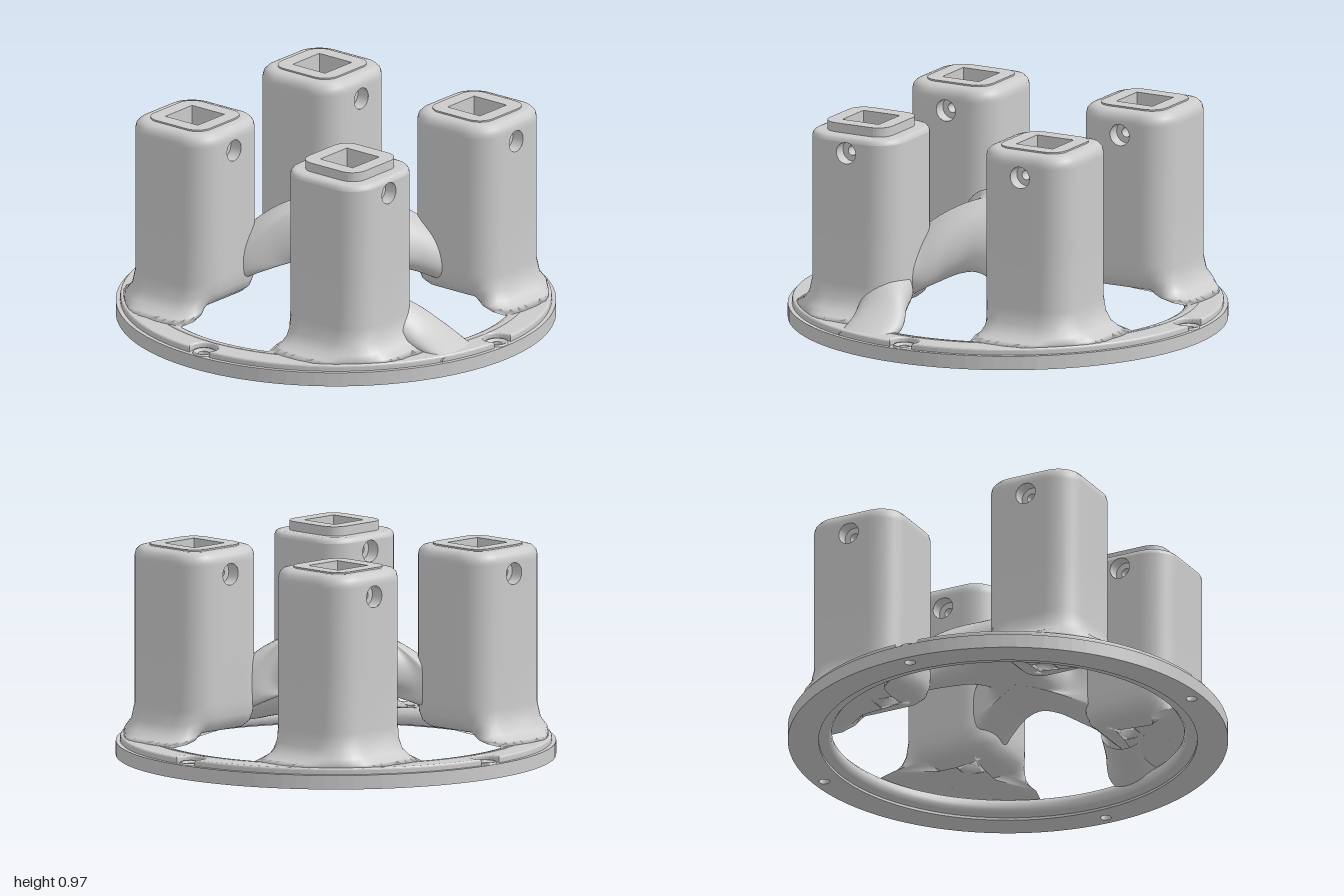
import * as THREE from 'three';

const mat = new THREE.MeshStandardMaterial({ color: 0xcccccc, side: THREE.DoubleSide });
const V = (x, y, z) => new THREE.Vector3(x, y, z);

function add(parent, name, geo, x = 0, y = 0, z = 0) {
  const m = new THREE.Mesh(geo, mat);
  m.name = name;
  m.position.set(x, y, z);
  parent.add(m);
  return m;
}

// Skin a stack of closed cross-sections; skip(row, i) leaves an opening
function loft(rows, skip = () => false) {
  const n = rows[0].length, idx = [];
  for (let j = 0; j < rows.length - 1; j++) for (let i = 0; i < n; i++) {
    if (skip(j, i)) continue;
    const a = j * n + i, b = j * n + (i + 1) % n;
    idx.push(a, a + n, b, b, a + n, b + n);
  }
  const g = new THREE.BufferGeometry().setFromPoints(rows.flat());
  g.setIndex(idx);
  g.computeVertexNormals();
  return g;
}

function circlePath(r, x = 0, y = 0) {
  return new THREE.Path().absarc(x, y, r, 0, Math.PI * 2, true);
}

function rectShape(w, h) {
  return new THREE.Shape([[-w, -h], [w, -h], [w, h], [-w, h]].map(p => new THREE.Vector2(...p)));
}

// Upright slab cut by the given holes
function slab(shape, holes, depth, bevel = 0) {
  shape.holes.push(...holes);
  return new THREE.ExtrudeGeometry(shape, {
    depth: depth - bevel, curveSegments: 48, bevelEnabled: bevel > 0,
    bevelSize: bevel, bevelThickness: bevel, bevelOffset: -bevel, bevelSegments: 3,
  }).rotateX(-Math.PI / 2);
}

// Flat panel facing x, with a round hole
function holedPanel(w, h, r, cy = 0) {
  const s = rectShape(w, h);
  s.holes.push(circlePath(r, 0, cy));
  return new THREE.ShapeGeometry(s, 24).rotateY(Math.PI / 2);
}

// Rounded square as points with outward normals; two points on every flat
function roundedSquare(half, r, flat) {
  const pts = [];
  for (let k = 0; k < 4; k++) {
    const c = Math.cos(k * Math.PI / 2), s = Math.sin(k * Math.PI / 2);
    const put = (x, z, a) => pts.push({
      x: x * c - z * s, z: x * s + z * c,
      nx: Math.cos(a + k * Math.PI / 2), nz: Math.sin(a + k * Math.PI / 2),
    });
    put(half, -flat, 0);
    put(half, flat, 0);
    for (let i = 0; i <= 8; i++) {
      const a = i / 8 * Math.PI / 2;
      put(half - r + r * Math.cos(a), half - r + r * Math.sin(a), a);
    }
  }
  return pts;
}

const P = 0.455, HALF = 0.23, HOLE_Y = 0.855;

function makePost(sx, sz, height, rim) {
  const post = new THREE.Group();
  post.name = 'post';
  post.position.set(sx * P, 0, sz * P);
  const outline = roundedSquare(HALF, 0.13, 0.055);

  // rows: outer y, outer growth, inner y, inner growth (outer side flares onto the ring)
  const rows = [
    [0.11, -0.229, 0.11, -0.229], [0.085, 0.16, 0.125, -0.09], [0.105, 0.09, 0.135, -0.05],
    [0.13, 0.045, 0.16, -0.02], [0.17, 0.015, 0.20, -0.005], [0.24, 0, 0.26, 0],
    [0.5, 0, 0.5, 0], [0.80, 0, 0.80, 0], [0.905, 0, 0.905, 0],
  ];
  for (const a of [0, 30, 60, 90]) {
    const t = a * Math.PI / 180;
    const y = height - rim * (1 - Math.sin(t)), g = -rim * (1 - Math.cos(t));
    rows.push([y, g, y, g]);
  }
  rows.push([height, -0.075, height, -0.075]);
  const sections = rows.map(([yo, go, yi, gi]) => outline.map(p => {
    const w = THREE.MathUtils.smoothstep((p.nx * sx + p.nz * sz) * Math.SQRT1_2, -0.5, 0.65);
    const g = THREE.MathUtils.lerp(gi, go, w);
    let x = p.x + p.nx * g, z = p.z + p.nz * g;
    const r = Math.hypot(x + sx * P, z + sz * P), k = Math.min(1, 0.965 / r);
    x = (x + sx * P) * k - sx * P;
    z = (z + sz * P) * k - sz * P;
    return V(x, THREE.MathUtils.lerp(yi, yo, w), z);
  }));
  add(post, 'postBody', loft(sections, (j, i) => j === 7 && (i === 0 || i === 22)));

  // Socket collar, walls and floor
  const collarShape = new THREE.Shape(roundedSquare(0.165, 0.075, 0.05).map(p => new THREE.Vector2(p.x, p.z)));
  add(post, 'socketCollar', slab(collarShape, [rectShape(0.095, 0.095)], 0.073), 0, 0.90, 0);
  add(post, 'socketFloor', slab(rectShape(0.095, 0.095), [circlePath(0.025)], 0.05), 0, 0.70, 0);
  add(post, 'floorHoleBottom', new THREE.CircleGeometry(0.026, 24).rotateX(-Math.PI / 2), 0, 0.70, 0);
  for (const s of [-1, 1]) {
    add(post, 'socketSideWall', new THREE.PlaneGeometry(0.19, 0.15), 0, 0.825, s * 0.095);
    add(post, 'socketDrilledWall', holedPanel(0.095, 0.075, 0.022, HOLE_Y - 0.825), s * 0.095, 0.825, 0);
    // Counterbored cross hole
    add(post, 'screwFace', holedPanel(0.055, 0.0525, 0.05, HOLE_Y - 0.8525), s * HALF, 0.8525, 0);
    const tube = (r, len) => new THREE.CylinderGeometry(r, r, len, 32, 1, true).rotateZ(Math.PI / 2);
    add(post, 'counterbore', tube(0.05, 0.06), s * 0.2, HOLE_Y, 0);
    add(post, 'counterboreSeat', new THREE.RingGeometry(0.022, 0.05, 32).rotateY(Math.PI / 2), s * 0.17, HOLE_Y, 0);
    add(post, 'screwBore', tube(0.022, 0.075), s * 0.1325, HOLE_Y, 0);
  }
  return post;
}

function makeRing() {
  const ring = new THREE.Group();
  ring.name = 'baseRing';
  const quarter = k => k * Math.PI / 2;

  // Flange with four screw holes
  const flange = new THREE.Shape().absarc(0, 0, 1, 0, Math.PI * 2);
  const holes = [0, 1, 2, 3].map(k => circlePath(0.025, 0.945 * Math.cos(quarter(k)), 0.945 * Math.sin(quarter(k))));
  add(ring, 'flange', slab(flange, [circlePath(0.86), ...holes], 0.065));

  // Raised shoulder, notched around every screw
  const pts = [];
  for (let k = 0; k < 4; k++) {
    for (let i = 0; i <= 16; i++) {
      const a = -(60 + i * 15) * Math.PI / 180;
      pts.push(new THREE.Vector2(0.945 + 0.065 * Math.cos(a), 0.065 * Math.sin(a))
        .rotateAround(new THREE.Vector2(), quarter(k)));
    }
    for (let i = 0; i <= 24; i++) {
      const a = quarter(k) + 0.065 + (Math.PI / 2 - 0.13) * i / 24;
      pts.push(new THREE.Vector2(0.98 * Math.cos(a), 0.98 * Math.sin(a)));
    }
  }
  add(ring, 'shoulder', slab(new THREE.Shape(pts), [circlePath(0.85)], 0.034, 0.01), 0, 0.06, 0);

  // Rounded inner lip
  const lip = [[0.875, 0.012], [0.875, 0.094], [0.86, 0.0945], [0.84, 0.091], [0.82, 0.081], [0.806, 0.065],
    [0.80, 0.045], [0.803, 0.025], [0.815, 0.012], [0.875, 0.012]];
  add(ring, 'innerLip', new THREE.LatheGeometry(lip.map(p => new THREE.Vector2(...p)), 96));

  // Screw seats
  const seat = [[0.052, 0.06], [0.05, 0.074], [0.042, 0.074], [0.025, 0.062]].map(p => new THREE.Vector2(...p));
  for (let k = 0; k < 4; k++) {
    add(ring, 'screwSeat', new THREE.LatheGeometry(seat, 32),
      0.945 * Math.cos(quarter(k)), 0, 0.945 * Math.sin(quarter(k)));
  }
  return ring;
}

// Arched four-armed bridge: a plan outline puffed between a top and a bottom dome
function makeBridge() {
  const plan = [
    [0.365, 0], [0.40, 0.10], [0.47, 0.21], [0.52, 0.36], [0.40, 0.45], [0.27, 0.30], [0.21, 0.20],
    [0.10, 0.155], [0, 0.185], [-0.12, 0.28], [-0.24, 0.40], [-0.42, 0.46], [-0.40, 0.29], [-0.29, 0.20],
    [-0.235, 0.09], [-0.23, -0.03], [-0.25, -0.12], [-0.33, -0.23], [-0.44, -0.38], [-0.30, -0.42],
    [-0.15, -0.30], [0, -0.20], [0.08, -0.165], [0.18, -0.205], [0.24, -0.31], [0.40, -0.45],
    [0.48, -0.33], [0.43, -0.21], [0.38, -0.10],
  ];
  const cx = 0.07;
  const edge = new THREE.CatmullRomCurve3(plan.map(([x, z]) => V(x, 0, z)), true).getPoints(144).slice(0, -1);
  const rows = [];
  for (let j = 0; j <= 40; j++) {
    const a = (j / 40 - 0.5) * Math.PI, s = Math.max(Math.cos(a), 0.001);
    const lift = Math.sign(a) * Math.sqrt(1 - s ** 4);
    rows.push(edge.map(p => {
      const x = cx + (p.x - cx) * s, z = p.z * s, d = Math.min(x * x + z * z, 0.25);
      const top = 0.585 - 0.85 * d, bottom = 0.31 - 0.7 * d;
      return V(x, (top + bottom) / 2 + lift * (top - bottom) / 2, z);
    }));
  }
  return loft(rows);
}

// Tapered web running from one post down to the ring
function makeGusset() {
  const path = new THREE.CatmullRomCurve3([V(0.5, 0.2, 0.34), V(0.64, 0.17, 0.28), V(0.77, 0.11, 0.24), V(0.92, 0.07, 0.24)]);
  const size = new THREE.CatmullRomCurve3([V(0.13, 0.11, 0), V(0.12, 0.095, 0), V(0.13, 0.065, 0), V(0.12, 0.025, 0)]);
  const rows = [];
  for (let j = 0; j <= 20; j++) {
    const c = path.getPoint(j / 20), s = size.getPoint(j / 20), row = [];
    for (let i = 0; i < 32; i++) {
      const a = i / 32 * Math.PI * 2;
      row.push(V(c.x, c.y + s.y * Math.cos(a), c.z - s.x * Math.sin(a)));
    }
    rows.push(row);
  }
  return loft(rows);
}

export function createModel() {
  const model = new THREE.Group();
  model.name = 'fourPostMount';
  model.add(makeRing());
  for (const sx of [-1, 1]) for (const sz of [-1, 1]) {
    const low = sx > 0 && sz > 0; // one post stands lower than its collar
    model.add(makePost(sx, sz, low ? 0.93 : 0.966, low ? 0.025 : 0.045));
  }
  add(model, 'bridge', makeBridge());
  add(model, 'gusset', makeGusset());
  return model;
}
